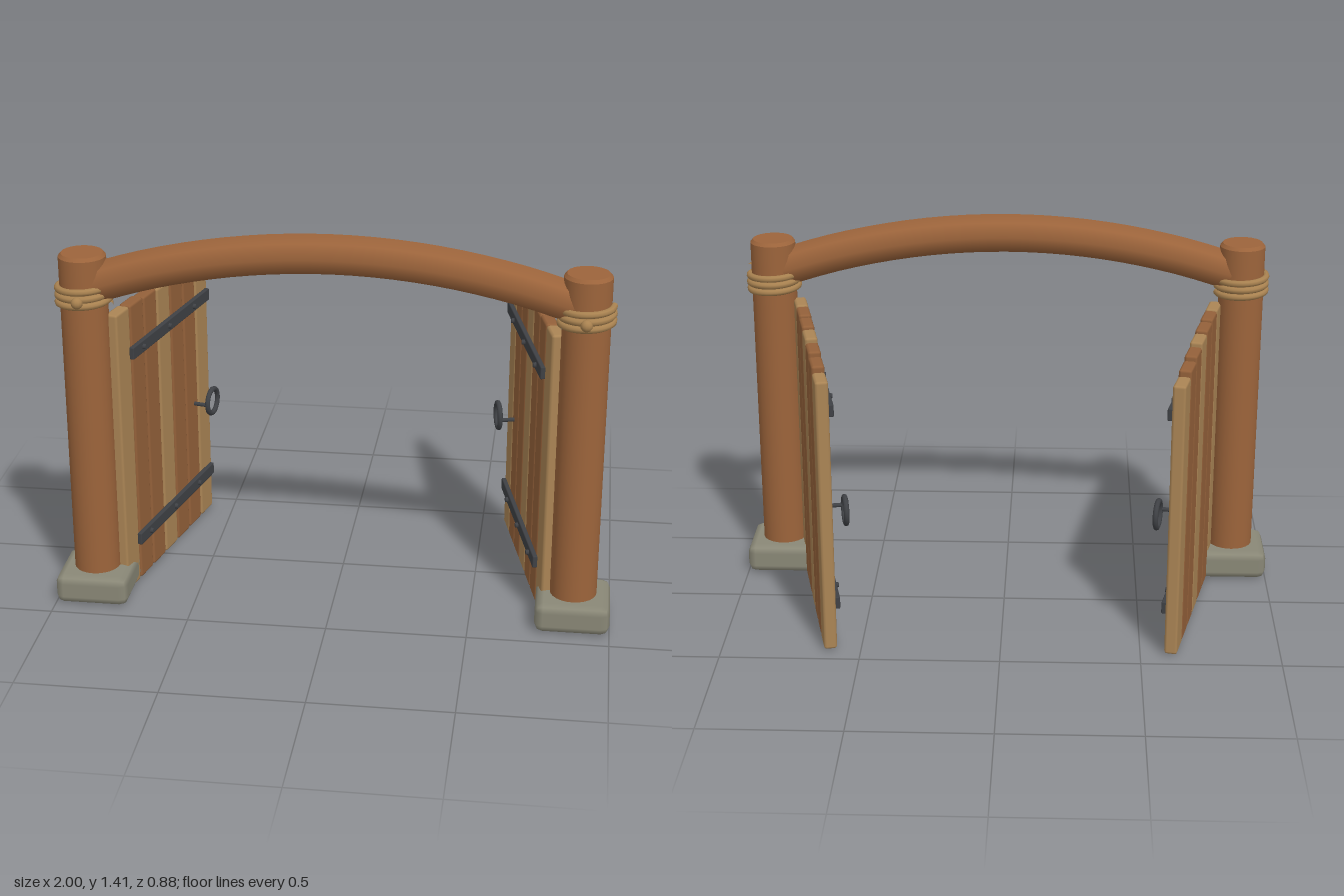
import * as THREE from 'three';
import { RoundedBoxGeometry } from 'three/addons/geometries/RoundedBoxGeometry.js';

const mat = (name, color) => {
  const m = new THREE.MeshStandardMaterial({ color });
  m.name = name;
  return m;
};

export function createModel() {
  const log = mat('log wood', 0x9c643b);
  const darkWood = mat('dark plank wood', 0x94613a);
  const lightWood = mat('light plank wood', 0xab8555);
  const stone = mat('stone', 0x8a8877);
  const iron = mat('iron', 0x3f4145);
  const rope = mat('rope', 0xa98250);

  const root = new THREE.Group();
  root.name = 'gate';
  const add = (parent, name, geo, material, x = 0, y = 0, z = 0) => {
    const m = new THREE.Mesh(geo, material);
    m.name = name;
    m.position.set(x, y, z);
    parent.add(m);
    return m;
  };

  const postX = 0.867, postZ = 0.315, postR = 0.083, postTop = 1.312;

  // Arched beam between the posts
  const arch = [];
  for (let i = 0; i <= 8; i++) {
    const x = -0.85 + (1.7 * i) / 8;
    arch.push(new THREE.Vector3(x, 1.34 - 0.2 * x * x, postZ));
  }
  add(root, 'archBeam', new THREE.TubeGeometry(new THREE.CatmullRomCurve3(arch), 24, 0.072, 8), log);

  // Rope coil: three turns rising around a post
  const coil = [];
  for (let i = 0; i <= 36; i++) {
    const a = (i / 36) * Math.PI * 6;
    coil.push(new THREE.Vector3(Math.cos(a) * 0.09, 1.122 + (0.078 * i) / 36, -Math.sin(a) * 0.09));
  }
  const coilGeo = new THREE.TubeGeometry(new THREE.CatmullRomCurve3(coil), 108, 0.0125, 8);

  // Post: straight log with a small chamfer at the top
  const bodyH = postTop - 0.012 - 0.02;
  const bodyGeo = new THREE.CylinderGeometry(postR, postR, bodyH, 24);
  const rimGeo = new THREE.CylinderGeometry(postR - 0.01, postR, 0.012, 24);

  // Gate leaf planks, counted from the hinge
  const tops = [1.085, 1.084, 1.078, 1.07, 1.058, 1.044, 1.026];
  const pitch = 0.1117, thick = 0.047, lean = 0.221;
  const studGeo = new THREE.CylinderGeometry(0.009, 0.011, 0.012, 8);

  for (const s of [1, -1]) {
    const side = s > 0 ? 'left' : 'right';

    // Post with its footing and lashing
    const post = new THREE.Group();
    post.name = side + 'Post';
    post.position.set(s * postX, 0, postZ);
    root.add(post);
    add(post, 'postLog', bodyGeo, log, 0, 0.02 + bodyH / 2, 0);
    add(post, 'postTop', rimGeo, log, 0, postTop - 0.006, 0);
    add(post, 'footing', new RoundedBoxGeometry(0.265, 0.11, 0.255, 1, 0.03), stone, 0, 0.055, 0);
    add(post, 'ropeCoil', coilGeo, rope);
    add(post, 'ropeKnot', new THREE.SphereGeometry(0.021, 12, 8), rope, 0, 1.16, 0.1);

    // Swung-open leaf: runs along its own -z, inner face towards the middle
    const leaf = new THREE.Group();
    leaf.name = side + 'Leaf';
    leaf.position.set(s * 0.765, 0, 0.2665);
    leaf.rotation.y = s * lean;
    root.add(leaf);
    tops.forEach((top, i) => {
      const h = top - 0.005;
      add(leaf, 'plank', new RoundedBoxGeometry(thick, h, 0.105, 1, 0.01),
        i % 3 === 0 ? lightWood : darkWood, 0, 0.005 + h / 2, -i * pitch);
    });

    // Iron straps and studs
    for (const y of [0.178, 0.912]) {
      add(leaf, 'strap', new RoundedBoxGeometry(0.018, 0.046, 0.67, 1, 0.004), iron, -s * 0.032, y, -0.37);
      for (const t of [0.116, 0.337, 0.557]) {
        add(leaf, 'stud', studGeo, iron, -s * 0.046, y, -t).rotation.z = s * Math.PI / 2;
      }
    }

    // Pull ring on its pin
    add(leaf, 'pullRing', new THREE.TorusGeometry(0.048, 0.01, 8, 24), iron, -s * 0.077, 0.503, -0.626)
      .rotation.y = Math.PI / 2;
    add(leaf, 'ringPin', new THREE.CylinderGeometry(0.008, 0.008, 0.062, 8), iron, -s * 0.051, 0.503, -0.578)
      .rotation.z = Math.PI / 2;
  }
  return root;
}
